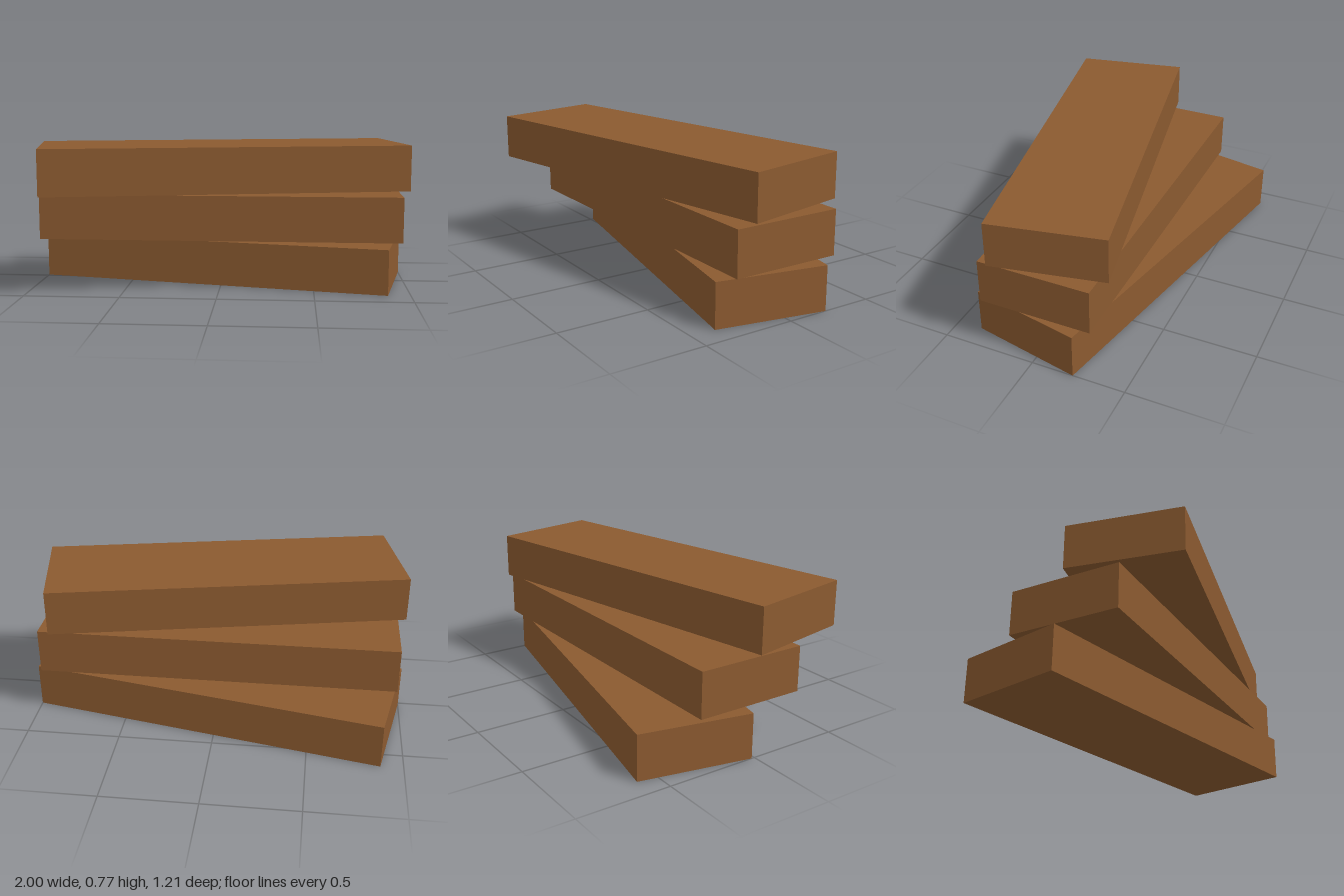
import * as THREE from 'three';

export function createModel() {
  const model = new THREE.Group();
  model.name = 'plankStack';

  const wood = new THREE.MeshStandardMaterial({ color: 0x8b5a30 });
  wood.name = 'brown wood';

  const height = 0.24;
  const spacing = 0.264; // plank height plus a small gap
  const plank = new THREE.BoxGeometry(1.92, height, 0.6);

  // Three planks, each turned and shifted forward from the one below
  ['bottomPlank', 'middlePlank', 'topPlank'].forEach((name, i) => {
    const mesh = new THREE.Mesh(plank, wood);
    mesh.name = name;
    mesh.position.set(0, height / 2 + i * spacing, (i - 1) * 0.12);
    mesh.rotation.y = (i - 1) * 0.2;
    model.add(mesh);
  });

  return model;
}
